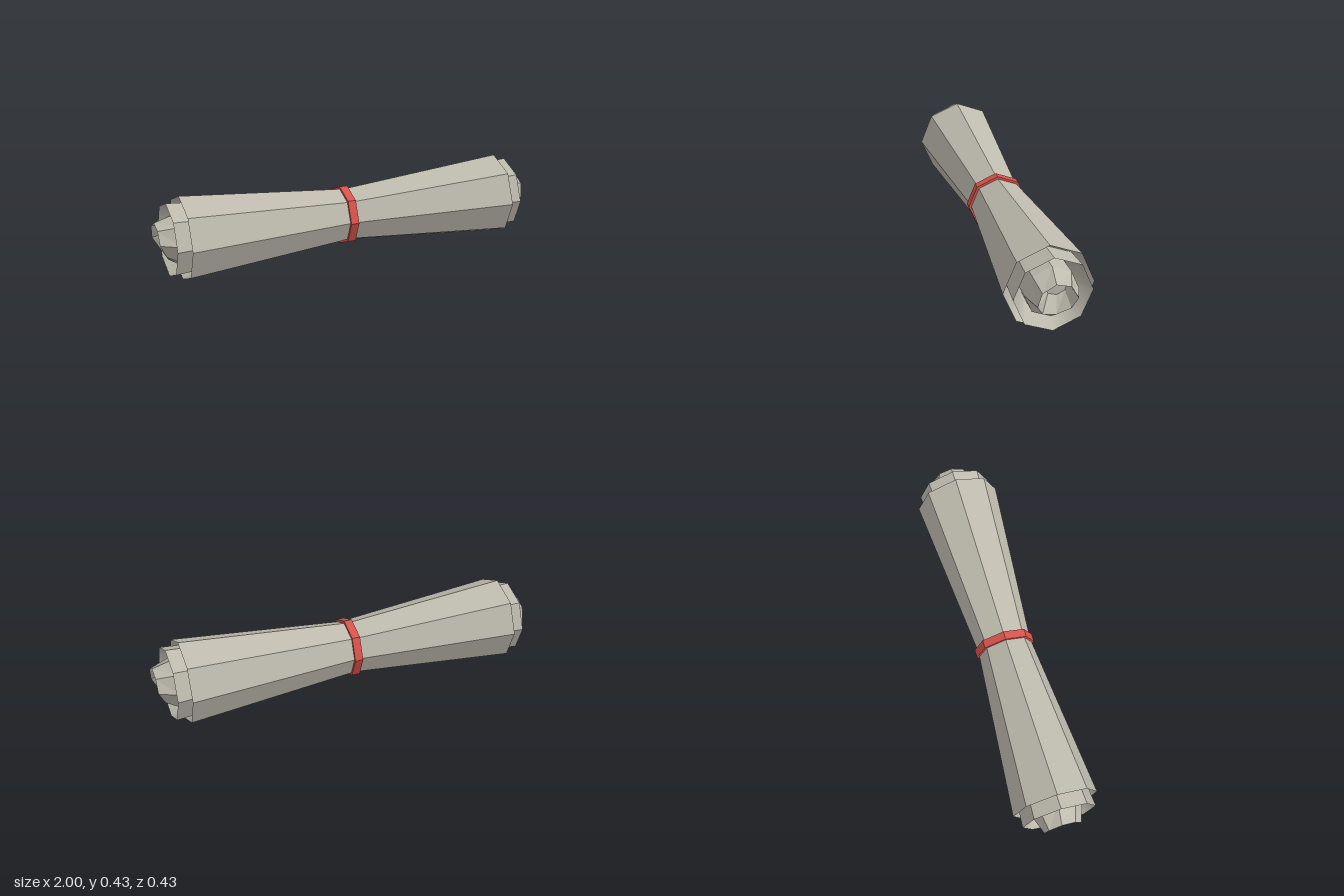
import * as THREE from 'three';

const SIDES = 8, AXIS = 0.215;

export function createModel() {
  const model = new THREE.Group();
  const paper = new THREE.MeshStandardMaterial({ color: 0xbebbae, side: THREE.DoubleSide });
  paper.name = 'paper';
  const ribbon = new THREE.MeshStandardMaterial({ color: 0xd9534c });
  ribbon.name = 'red ribbon';

  function flat(geometry) {
    const g = geometry.index ? geometry.toNonIndexed() : geometry;
    g.computeVertexNormals();
    return g;
  }
  function add(name, geometry, material) {
    const mesh = new THREE.Mesh(geometry, material);
    mesh.name = name;
    mesh.position.y = AXIS;
    model.add(mesh);
    return mesh;
  }
  // Eight-sided lathe around the x axis; points are [x, radius]
  function turned(points) {
    const profile = points.map(([x, r]) => new THREE.Vector2(r, x));
    return new THREE.LatheGeometry(profile, SIDES).rotateZ(-Math.PI / 2);
  }

  // Two nested rolls, both pinched at the ribbon
  add('outerRoll', flat(turned([[-0.875, 0.215], [-0.015, 0.138], [0.865, 0.215]])), paper);
  add('innerRoll', flat(turned([[-0.94, 0.187], [-0.015, 0.115], [0.93, 0.187]])), paper);

  // Smooth hollows inside the open ends
  add('outerHollowLeft', turned([[0.865, 0.215], [0.79, 0.175]]), paper);
  add('outerHollowRight', turned([[-0.8, 0.175], [-0.875, 0.215]]), paper);
  add('innerHollowLeft', turned([[0.93, 0.187], [0.74, 0.1]]), paper);
  add('innerHollowRight', turned([[-0.75, 0.1], [-0.94, 0.187]]), paper);

  // Curled core end: tapered tube, slanted rim and an off-centre hollow
  function coreEnd() {
    const ring = (r, twist, y0, z0, xAt) => Array.from({ length: SIDES }, (_, i) => {
      const a = i / SIDES * Math.PI * 2 + twist;
      return [xAt(Math.cos(a)), y0 + r * Math.cos(a), z0 + r * Math.sin(a)];
    });
    const rings = [
      ring(0.125, 0, 0, 0, () => 0.72),
      ring(0.128, 0, 0, 0, () => 0.9),
      ring(0.094, 0.117, 0, 0, c => 1 - 0.055 * Math.max(0, -c)),
      ring(0.056, 0.05, 0.036, -0.02, () => 0.9),
    ];
    const pos = [];
    for (let k = 0; k < rings.length - 1; k++) {
      for (let i = 0; i < SIDES; i++) {
        const j = (i + 1) % SIDES;
        const a = rings[k][i], b = rings[k][j], c = rings[k + 1][j], d = rings[k + 1][i];
        pos.push(...a, ...b, ...c, ...a, ...c, ...d);
      }
    }
    const floor = rings[rings.length - 1];
    for (let i = 0; i < SIDES; i++) {
      pos.push(0.9, 0.036, -0.02, ...floor[i], ...floor[(i + 1) % SIDES]);
    }
    const g = new THREE.BufferGeometry();
    g.setAttribute('position', new THREE.Float32BufferAttribute(pos, 3));
    return flat(g);
  }
  add('coreLeft', coreEnd(), paper);
  add('coreRight', coreEnd(), paper).rotation.y = Math.PI;

  // Ribbon tied around the middle
  add('ribbonBand', flat(turned([
    [-0.037, 0.13], [-0.037, 0.153], [0.005, 0.153], [0.005, 0.13],
  ])), ribbon);

  return model;
}
